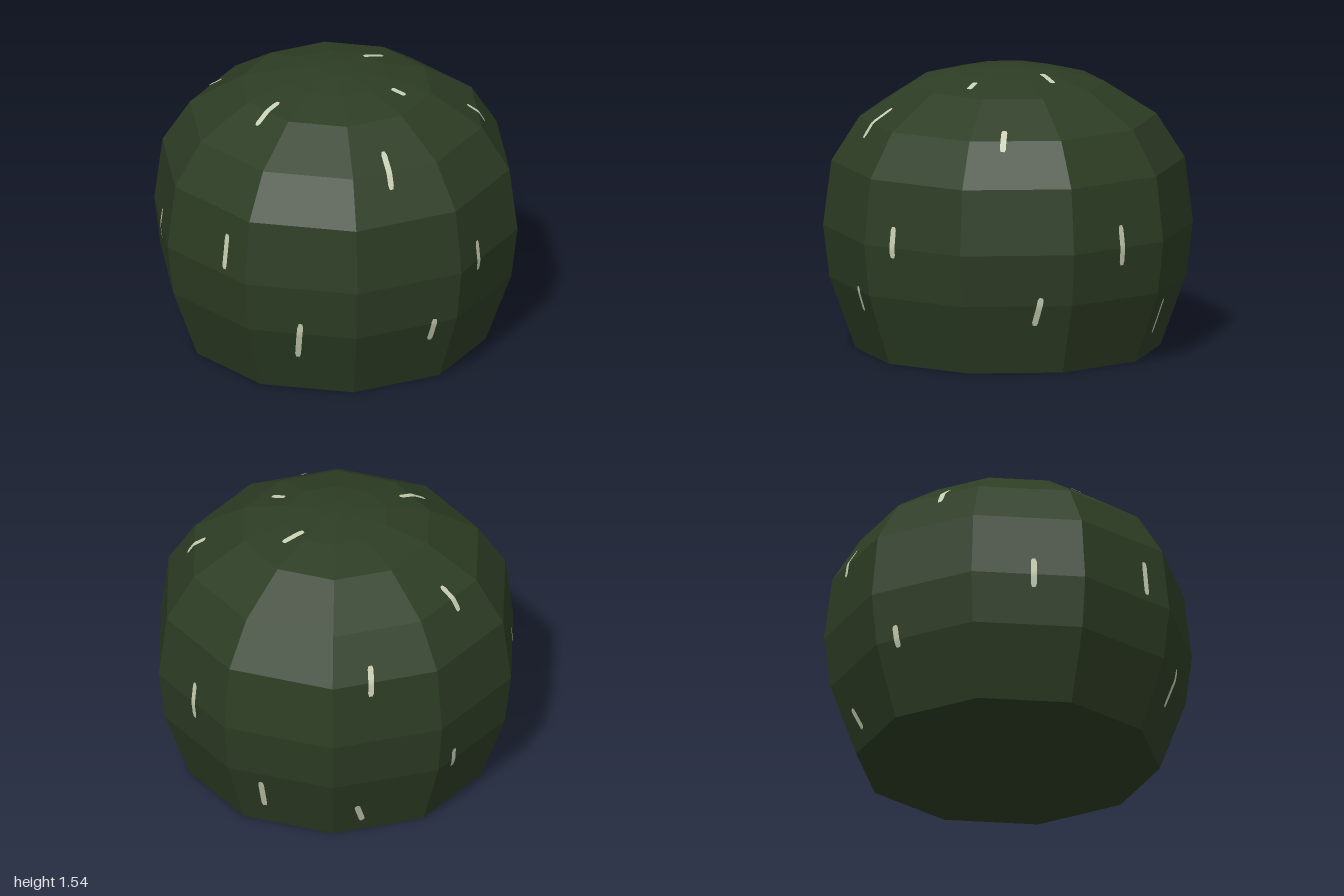
import * as THREE from 'three';

// Body profile as [radius, height], bottom to top
const PROFILE = [
  [0, 0], [0.825, 0], [0.965, 0.39], [1, 0.675], [0.955, 1.03],
  [0.803, 1.27], [0.523, 1.45], [0.285, 1.515], [0.1, 1.538], [0, 1.54],
];

// Spines as upper point and lower point
const SPINES = [
  // front
  [[0.18, 1.34, 0.63], [0.21, 1.19, 0.79]],
  [[-0.29, 0.46, 0.87], [-0.3, 0.23, 0.81]],
  [[0.44, 0.42, 0.83], [0.415, 0.28, 0.8]],
  [[-0.665, 0.91, 0.66], [-0.68, 0.71, 0.67]],
  [[0.685, 0.79, 0.65], [0.695, 0.62, 0.66]],
  // sides
  [[0.7, 1.31, 0.055], [0.79, 1.21, 0.07]],
  [[0.75, 0.8, -0.57], [0.75, 0.58, -0.575]],
  [[0.92, 0.44, -0.13], [0.88, 0.28, -0.095]],
  [[-0.95, 0.77, 0.03], [-0.95, 0.6, 0.03]],
  // crown
  [[0.17, 1.52, -0.17], [0.28, 1.49, -0.23]],
  [[0.28, 1.5, 0.19], [0.35, 1.48, 0.23]],
  [[-0.34, 1.48, 0.24], [-0.48, 1.41, 0.35]],
  [[-0.58, 1.33, -0.39], [-0.69, 1.22, -0.46]],
  // back
  [[-0.205, 1.12, -0.86], [-0.205, 0.95, -0.9]],
  [[-0.65, 0.47, -0.69], [-0.65, 0.34, -0.68]],
  [[0.4, 0.32, -0.84], [0.38, 0.12, -0.78]],
  [[-0.13, 0.2, -0.87], [-0.16, 0.07, -0.82]],
];

const CENTRE = new THREE.Vector3(0, 0.7, 0);

// Planes of all faces of the convex body
function facePlanes(geometry) {
  const p = geometry.attributes.position;
  const corner = (i) => new THREE.Vector3().fromBufferAttribute(p, i);
  const planes = [];
  for (let i = 0; i < p.count; i += 3) {
    planes.push(new THREE.Plane().setFromCoplanarPoints(corner(i), corner(i + 1), corner(i + 2)));
  }
  return planes;
}

// Move a point along its ray from the centre to just above the body surface
function snap(point, planes) {
  const dir = point.clone().sub(CENTRE).normalize();
  let t = Infinity;
  for (const plane of planes) {
    const slope = plane.normal.dot(dir);
    if (slope > 1e-6) t = Math.min(t, -plane.distanceToPoint(CENTRE) / slope);
  }
  return CENTRE.clone().addScaledVector(dir, t + 0.006);
}

// Thin strip draped over the body between two points
function spineGeometry([top, bottom], planes) {
  const a = snap(new THREE.Vector3(...top), planes);
  const b = snap(new THREE.Vector3(...bottom), planes);
  const along = a.clone().sub(b);
  const mid = a.clone().add(b).multiplyScalar(0.5);
  const across = along.clone().cross(mid.clone().sub(CENTRE)).normalize();
  const geometry = new THREE.PlaneGeometry(0.032, 1, 2, 10);
  const p = geometry.attributes.position;
  for (let i = 0; i < p.count; i++) {
    const v = p.getY(i);
    const taper = Math.abs(v) > 0.45 ? 0.6 : 1;
    const point = mid.clone().addScaledVector(along, v).addScaledVector(across, p.getX(i) * taper);
    const s = snap(point, planes);
    p.setXYZ(i, s.x, s.y, s.z);
  }
  geometry.computeVertexNormals();
  return geometry;
}

export function createModel() {
  const model = new THREE.Group();
  model.name = 'cactus';
  const darkGreen = new THREE.MeshStandardMaterial({ color: 0x2d3d24 });
  darkGreen.name = 'darkGreen';
  const paleSpine = new THREE.MeshStandardMaterial({ color: 0xc8ceb2 });
  paleSpine.name = 'paleSpine';

  // Ten-sided faceted body
  const points = PROFILE.map(([r, y]) => new THREE.Vector2(r, y));
  const bodyGeometry = new THREE.LatheGeometry(points, 10).toNonIndexed();
  bodyGeometry.computeVertexNormals();
  const body = new THREE.Mesh(bodyGeometry, darkGreen);
  body.name = 'body';
  model.add(body);

  // Scattered spines
  const spines = new THREE.Group();
  spines.name = 'spines';
  const planes = facePlanes(bodyGeometry);
  for (const ends of SPINES) {
    const spine = new THREE.Mesh(spineGeometry(ends, planes), paleSpine);
    spine.name = 'spine';
    spines.add(spine);
  }
  model.add(spines);
  return model;
}
